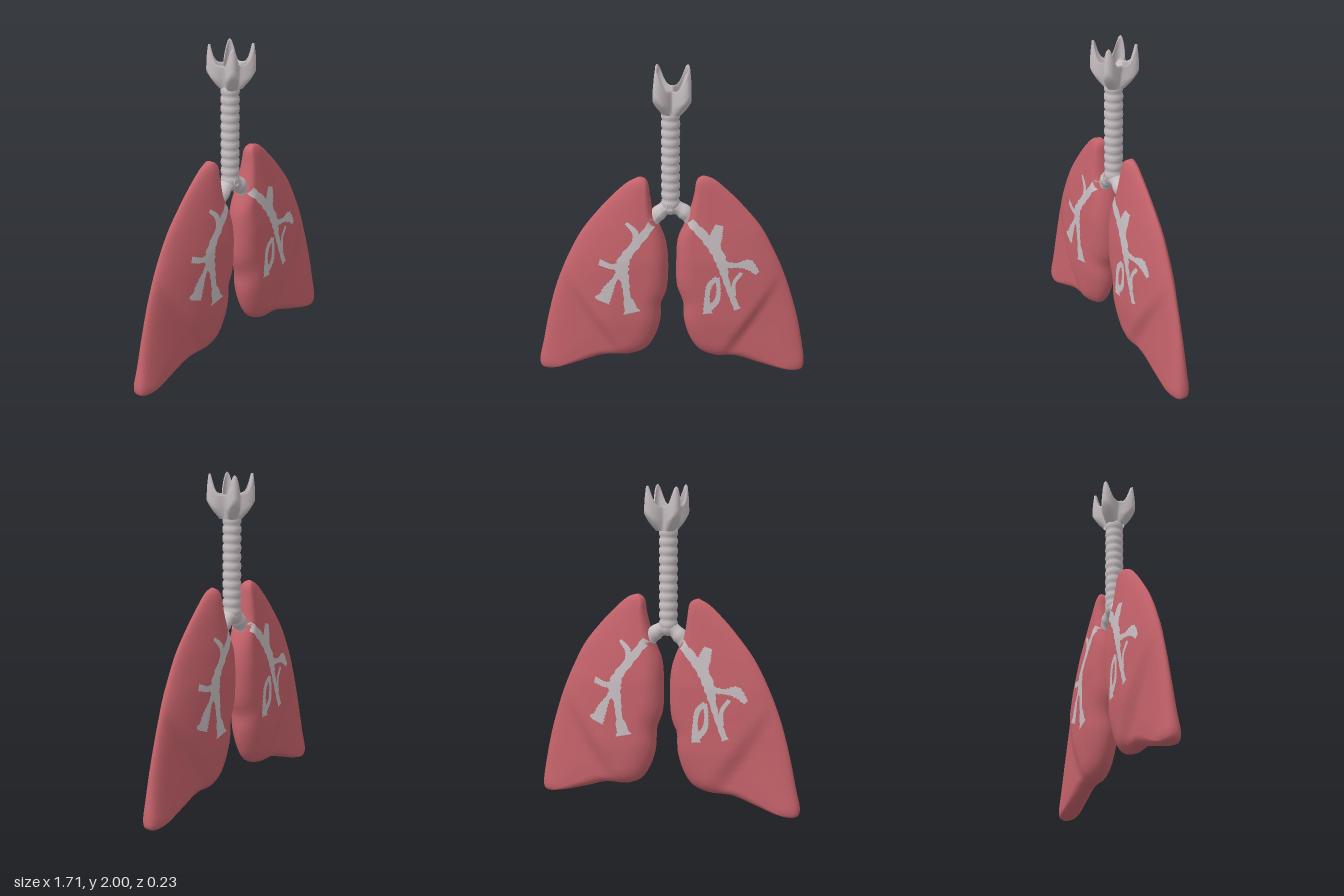
import * as THREE from 'three';

const pink = new THREE.MeshStandardMaterial({ name: 'lung pink', color: 0xc4626a });
const grey = new THREE.MeshStandardMaterial({ name: 'cartilage grey', color: 0xc6bdc0, side: THREE.DoubleSide });

const { smoothstep, lerp } = THREE.MathUtils;
const curve = (pts) => new THREE.CatmullRomCurve3(pts.map(([x, y, z = 0]) => new THREE.Vector3(x, y, z)));

// piecewise linear lookup in [key, value] pairs with rising keys
function lookup(table, k) {
  for (let i = 1; i < table.length; i++) {
    const [k0, v0] = table[i - 1], [k1, v1] = table[i];
    if (k <= k1) return lerp(v0, v1, Math.max(0, (k - k0) / (k1 - k0)));
  }
  return table[table.length - 1][1];
}

// surface from rows of points; closed rows wrap around
function skin(rows, closed, flip = false) {
  const n = rows[0].length, index = [];
  for (let i = 0; i < rows.length - 1; i++) {
    for (let j = 0; j < (closed ? n : n - 1); j++) {
      const k = (j + 1) % n;
      const a = i * n + j, b = i * n + k, c = a + n, d = b + n;
      if (flip) index.push(a, b, c, b, d, c);
      else index.push(a, c, b, b, c, d);
    }
  }
  const geo = new THREE.BufferGeometry();
  geo.setAttribute('position', new THREE.Float32BufferAttribute(rows.flat(2), 3));
  geo.setIndex(index);
  geo.computeVertexNormals();
  return geo;
}

// half thickness of a lung: blunt inner edge, thin outer edge, step at the fissure
const HEIGHT = [[0, 0.06], [0.2, 0.085], [0.38, 0.1], [0.8, 0.1], [1.0, 0.082], [1.2, 0.055], [1.34, 0.035]];
function halfDepth(x, y, t, v) {
  const p = Math.max(0, 1 - v / 0.2), q = Math.max(0, (v - 0.35) / 0.65);
  const inner = Math.sqrt(1 - p * p);
  const rim = Math.sqrt(Math.max(0, 1 - q ** 10));
  const outer = 0.68 * (1 - q * q) + 0.32 * rim;
  const upper = lookup(HEIGHT, y) * inner * outer;
  const lower = 0.06 * inner * (rim * 0.55 + 0.45 * (1 - q * q));
  // signed distance beyond the fissure line
  const dist = ((Math.abs(x) - 0.26) * 0.62 - (y - 0.1) * 0.4) / 0.738;
  const s = smoothstep(dist, 0, 0.07) * (1 - smoothstep(y, 0.6, 0.85));
  const cap = (w) => Math.sqrt(Math.max(0, 1 - Math.max(0, 1 - w) ** 2));
  return lerp(upper, Math.min(lower, upper + 0.01), s) * cap(t / 0.06) * cap((1 - t) / 0.08);
}

function lung(name, medial, lateral) {
  const a = curve(medial), b = curve(lateral), N = 28, M = 80, rows = [];
  for (let i = 0; i <= M; i++) {
    const t = (1 - Math.cos(Math.PI * i / M)) / 2, p = a.getPointAt(t), q = b.getPointAt(t), row = [];
    for (let j = 0; j < 2 * N; j++) {
      const v = (1 - Math.cos(Math.PI * j / N)) / 2;
      const x = lerp(p.x, q.x, v), y = lerp(p.y, q.y, v);
      row.push([x, y, (j < N ? 1 : -1) * halfDepth(x, y, t, v)]);
    }
    rows.push(row);
  }
  const mesh = new THREE.Mesh(skin(rows, true, lateral[4][0] < 0), pink);
  mesh.name = name;
  return mesh;
}

// thin airway strip laid on the lung surface, widths in step with the path
function airwayStrip(lungs, path, widths, side) {
  const c = curve(path), N = 28, rows = [], ray = new THREE.Raycaster();
  for (let i = 0; i <= N; i++) {
    const p = c.getPoint(i / N), d = c.getTangent(i / N);
    const w = lookup(widths.map((v, k) => [k / (widths.length - 1), v]), i / N) * (1 + 0.15 * Math.sin(i * 2.3));
    const row = [];
    for (let j = -2; j <= 2; j++) {
      const x = p.x - d.y * w * j / 4, y = p.y + d.x * w * j / 4;
      ray.set(new THREE.Vector3(x * side, y, side * 2), new THREE.Vector3(0, 0, -side));
      const hit = ray.intersectObjects(lungs)[0];
      row.push([x * side, y, (hit ? hit.point.z : 0) + side * 0.005]);
    }
    rows.push(row);
  }
  return new THREE.Mesh(skin(rows, false), grey);
}

// tube with a changing, slightly ringed radius
function bronchus(path, r0, r1) {
  const N = 40, R = 16, c = curve(path), geo = new THREE.TubeGeometry(c, N, 1, R), pos = geo.attributes.position;
  const v = new THREE.Vector3();
  for (let i = 0; i < pos.count; i++) {
    const t = Math.floor(i / (R + 1)) / N, o = c.getPointAt(t);
    v.fromBufferAttribute(pos, i).sub(o).multiplyScalar(lerp(r0, r1, t) * (1 + 0.06 * Math.sin(t * 32))).add(o);
    pos.setXYZ(i, v.x, v.y, v.z);
  }
  geo.computeVertexNormals();
  return new THREE.Mesh(geo, grey);
}

// four-horned cup: outer wall up, then inner wall down to the floor
function larynx() {
  const rows = [], N = 72;
  const add = (s, scale, yFloor) => {
    const row = [];
    for (let j = 0; j < N; j++) {
      const a = j / N * Math.PI * 2, k = Math.abs(Math.sin(2 * a));
      const diag = lookup([[0, 0.07], [0.2, 0.115], [0.4, 0.148], [0.7, 0.146], [1, 0.136]], s);
      const flat = lerp(0.056, 0.064 + 0.018 * Math.cos(a) ** 2, s);
      const r = lerp(flat, diag, k ** 2) * scale;
      const y = yFloor ?? 1.73 + s * (0.15 + 0.12 * k ** 7);
      row.push([Math.cos(a) * r, y, Math.sin(a) * r]);
    }
    rows.push(row);
  };
  for (let i = 0; i <= 12; i++) add(i / 12, 1);
  for (let i = 12; i >= 5; i--) add(i / 12, 0.9);
  add(0.3, 0.5, 1.79);
  add(0.3, 0, 1.78);
  return new THREE.Mesh(skin(rows, true, true), grey);
}

// ringed windpipe profile
function trachea() {
  const pts = [], rings = 11, y0 = 1.13, step = 0.056;
  for (let i = 0; i < rings; i++) {
    for (const [r, f] of [[0.049, 0], [0.056, 0.2], [0.058, 0.5], [0.056, 0.8]]) {
      pts.push(new THREE.Vector2(r, y0 + (i + f) * step));
    }
  }
  pts.push(new THREE.Vector2(0.05, y0 + rings * step));
  const mesh = new THREE.Mesh(new THREE.LatheGeometry(pts, 32), grey);
  mesh.position.x = -0.01;
  return mesh;
}

export function createModel() {
  const g = new THREE.Group();
  const add = (name, mesh) => { mesh.name = name; g.add(mesh); return mesh; };

  const left = lung('leftLung',
    [[0.19, 1.335], [0.15, 1.305], [0.135, 1.22], [0.11, 1.12], [0.075, 1.02], [0.035, 0.92], [0.025, 0.75], [0.03, 0.6], [0.07, 0.48],
      [0.075, 0.36], [0.11, 0.24], [0.17, 0.15], [0.26, 0.11], [0.4, 0.105], [0.55, 0.06], [0.7, 0.02], [0.82, 0.005]],
    [[0.19, 1.335], [0.25, 1.315], [0.35, 1.23], [0.45, 1.125], [0.55, 1.0], [0.63, 0.85], [0.7, 0.69], [0.78, 0.44],
      [0.825, 0.24], [0.85, 0.07], [0.845, 0.025], [0.82, 0.005]]);
  const right = lung('rightLung',
    [[-0.2, 1.325], [-0.155, 1.3], [-0.135, 1.2], [-0.115, 1.08], [-0.07, 0.99], [-0.035, 0.88], [-0.025, 0.7], [-0.04, 0.55], [-0.07, 0.48],
      [-0.075, 0.36], [-0.11, 0.24], [-0.17, 0.15], [-0.28, 0.11], [-0.43, 0.105], [-0.58, 0.06], [-0.71, 0.02], [-0.82, 0.005]],
    [[-0.2, 1.325], [-0.27, 1.29], [-0.37, 1.2], [-0.46, 1.1], [-0.56, 0.97], [-0.65, 0.8], [-0.73, 0.6], [-0.79, 0.38],
      [-0.83, 0.19], [-0.857, 0.06], [-0.85, 0.02], [-0.82, 0.005]]);
  g.add(left, right);

  add('larynx', larynx());
  add('trachea', trachea());

  // fork below the windpipe
  const fork = add('tracheaFork', new THREE.Mesh(new THREE.SphereGeometry(0.055, 20, 14), grey));
  fork.position.set(-0.01, 1.135, 0);
  const frame = add('forkFrame', new THREE.Mesh(new THREE.TorusGeometry(0.024, 0.006, 6, 4), grey));
  frame.position.set(-0.015, 1.145, 0.054);
  frame.rotation.z = Math.PI / 4;
  for (const s of [1, -1]) {
    add(s > 0 ? 'leftBronchus' : 'rightBronchus',
      bronchus([[-0.01, 1.145], [s * 0.07, 1.1], [s * 0.13, 1.03], [s * 0.2, 0.95], [s * 0.27, 0.87]], 0.046, 0.045));
  }

  // airway branches; the back repeats the front turned half round
  const strips = [
    [[[0.11, 1.06], [0.2, 0.97], [0.27, 0.88], [0.31, 0.79], [0.33, 0.7], [0.37, 0.58], [0.41, 0.48]], [0.05, 0.06, 0.07, 0.07, 0.04, 0.035, 0.04]],
    [[[0.27, 0.9], [0.27, 0.97], [0.29, 1.04]], [0.05, 0.08, 0.05]],
    [[[0.3, 0.79], [0.4, 0.78], [0.47, 0.78], [0.53, 0.72]], [0.05, 0.03, 0.07, 0.03]],
    [[[0.28, 0.7], [0.235, 0.65], [0.22, 0.57], [0.225, 0.45]], [0.03, 0.035, 0.03, 0.06]],
    [[[0.28, 0.7], [0.29, 0.62], [0.28, 0.54], [0.23, 0.48]], [0.03, 0.025, 0.035, 0.04]],
    [[[0.385, 0.57], [0.385, 0.66], [0.43, 0.73]], [0.03, 0.025, 0.025]],
    [[[-0.11, 1.06], [-0.2, 0.94], [-0.28, 0.84], [-0.31, 0.76], [-0.29, 0.66], [-0.28, 0.57], [-0.25, 0.45]], [0.05, 0.05, 0.06, 0.09, 0.05, 0.04, 0.1]],
    [[[-0.23, 0.91], [-0.225, 0.99], [-0.28, 1.05]], [0.03, 0.04, 0.02]],
    [[[-0.3, 0.78], [-0.37, 0.765], [-0.45, 0.79]], [0.05, 0.035, 0.04]],
    [[[-0.31, 0.74], [-0.355, 0.68], [-0.4, 0.6], [-0.43, 0.52]], [0.06, 0.03, 0.07, 0.08]],
    [[[-0.4, 0.59], [-0.44, 0.56], [-0.48, 0.55]], [0.06, 0.04, 0.02]],
  ];
  for (const side of [1, -1]) {
    const set = new THREE.Group();
    set.name = side > 0 ? 'frontAirways' : 'backAirways';
    for (const [path, widths] of strips) {
      const strip = airwayStrip([left, right], path, widths, side);
      strip.name = 'airwayBranch';
      set.add(strip);
    }
    g.add(set);
  }
  return g;
}
